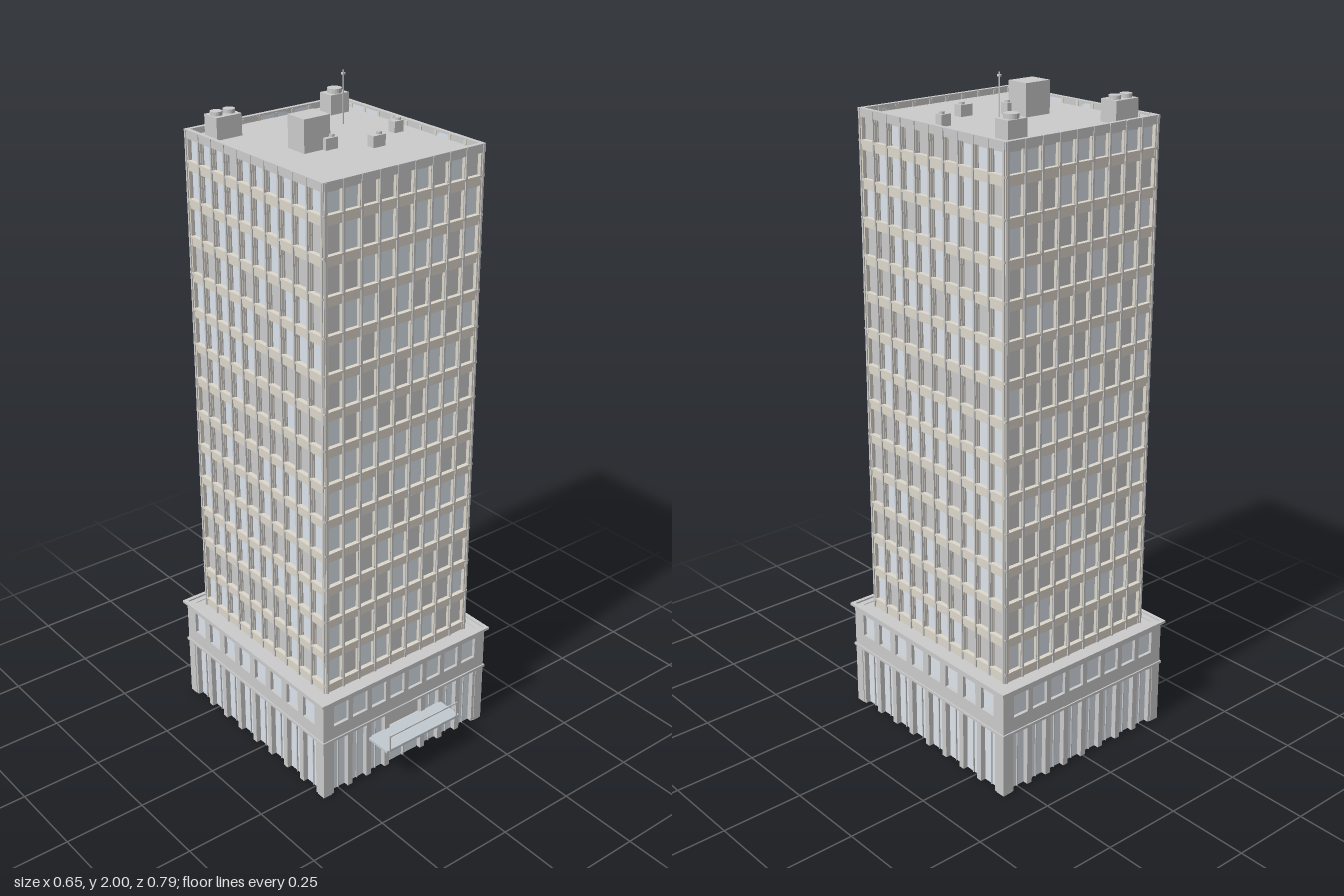
import * as THREE from 'three';
import { mergeGeometries } from 'three/addons/utils/BufferGeometryUtils.js';

const mat = (color) => new THREE.MeshStandardMaterial({ color, side: THREE.DoubleSide, flatShading: true });
const grey = mat(0xcccccc), glass = mat(0xdde4ec), stone = mat(0xded8cc), canopyGlass = mat(0xc2cbd0);
const ZC = -0.0375; // centre of the tower and podium in z

const box = (w, h, d, x, y, z) => new THREE.BoxGeometry(w, h, d).translate(x, y, z);
const span = (x0, x1, y0, y1, z0, z1) =>
  box(x1 - x0, y1 - y0, z1 - z0, (x0 + x1) / 2, (y0 + y1) / 2, (z0 + z1) / 2);
const pane = (w, h, x, y, z) => new THREE.PlaneGeometry(w, h).translate(x, y, z);
const cyl = (r, h, x, y, z, n = 20) => new THREE.CylinderGeometry(r, r, h, n).translate(x, y, z);

function add(parent, name, geos, material = grey) {
  const mesh = new THREE.Mesh(geos.length > 1 ? mergeGeometries(geos) : geos[0], material);
  mesh.name = name;
  parent.add(mesh);
  return mesh;
}

// rectangular ring lying flat, extruded upwards
function ring(hx, hz, t, y0, y1) {
  const rect = (S, a, b) => new S([[-a, -b], [a, -b], [a, b], [-a, b]].map((p) => new THREE.Vector2(...p)));
  const s = rect(THREE.Shape, hx, hz);
  s.holes.push(rect(THREE.Path, hx - t, hz - t));
  return new THREE.ExtrudeGeometry(s, { depth: y1 - y0, bevelEnabled: false })
    .rotateX(-Math.PI / 2).translate(0, y0, ZC);
}

let seed = 7;
const rnd = () => (seed = (seed * 16807) % 2147483647) / 2147483647;

// calls build(side, halfWidth, index) for four groups whose z = 0 lies on each wall
function fourSides(parent, name, hx, hz, build) {
  for (let i = 0; i < 4; i++) {
    const side = new THREE.Group();
    side.name = name + ['Front', 'Left', 'Back', 'Right'][i];
    const a = i * Math.PI / 2, d = i % 2 ? hx : hz;
    side.rotation.y = a;
    side.position.set(Math.sin(a) * d, 0, ZC + Math.cos(a) * d);
    build(side, i % 2 ? hz : hx, i);
    parent.add(side);
  }
}

function buildTower(parent) {
  const rows = 14, pitch = 0.109, y0 = 0.363, h = 0.08;
  fourSides(parent, 'towerFacade', 0.273, 0.306, (side, hw, i) => {
    const n = i % 2 ? 10 : 9, step = (2 * hw - 0.012) / n;
    const clear = [], blind = [], bands = [], ledges = [], piers = [], ribs = [], frames = [];
    for (let c = 0; c <= n; c++) {
      const x = (c - n / 2) * step;
      const edge = c === 0 || c === n;
      if (!edge) piers.push(span(x - 0.005, x + 0.005, 0.33, 1.862, -0.014, -0.002));
      ribs.push(span(x - 0.003, x + 0.003, 0.33, 1.865, -0.004, 0.003));
    }
    for (let r = 0; r < rows; r++) {
      const y = y0 + r * pitch;
      const low = r ? y - pitch + h : 0.33;
      bands.push(span(-hw, hw, low, y, -0.014, -0.001));
      ledges.push(span(-hw, hw, y - 0.006, y, -0.002, 0.002));
      for (let c = 0; c < n; c++) {
        const x = (c - (n - 1) / 2) * step;
        (rnd() < 0.58 ? clear : blind).push(pane(step - 0.01, h, x, y + h / 2, -0.012));
        frames.push(span(x - 0.024, x - 0.022, y, y + h, -0.012, -0.008));
      }
    }
    add(side, 'clearWindows', clear, glass);
    add(side, 'shadedWindows', blind);
    add(side, 'spandrels', bands, stone);
    add(side, 'sills', ledges, stone);
    add(side, 'piers', piers, stone);
    add(side, 'ribs', ribs);
    add(side, 'windowFrames', frames);
  });
  // solid corner posts
  const corners = [];
  for (const sx of [-1, 1]) for (const sz of [-1, 1])
    corners.push(box(0.014, 1.53, 0.014, sx * 0.266, 1.097, ZC + sz * 0.299));
  add(parent, 'towerCorners', corners, stone);
  add(parent, 'parapet', [ring(0.274, 0.307, 0.013, 1.842, 1.866)]);
  add(parent, 'roofDeck', [span(-0.262, 0.262, 1.835, 1.848, ZC - 0.295, ZC + 0.295)]);
}

function buildPodium(parent) {
  fourSides(parent, 'podiumWall', 0.315, 0.348, (side, hw, i) => {
    const n = 8, step = (2 * hw - 0.06) / n;
    // upper storey wall with window openings
    const wall = new THREE.Shape();
    wall.moveTo(-hw, 0.195).lineTo(hw, 0.195).lineTo(hw, 0.335).lineTo(-hw, 0.335);
    const panes = [], shop = [], columns = [], mullions = [];
    for (let c = 0; c < n; c++) {
      const x = (c - (n - 1) / 2) * step, w = 0.027;
      const hole = new THREE.Path();
      hole.moveTo(x - w, 0.245).lineTo(x - w, 0.315).lineTo(x + w, 0.315).lineTo(x + w, 0.245);
      wall.holes.push(hole);
      panes.push(pane(2 * w, 0.07, x, 0.28, -0.01));
      // ground floor glazing, leaving the entrance to its own part
      if (i === 0 && (c === 3 || c === 4)) continue;
      shop.push(pane(step, 0.195, x, 0.0975, -0.018));
      mullions.push(span(x - 0.0015, x + 0.0015, 0, 0.195, -0.02, -0.014));
    }
    for (let c = 0; c <= n; c++) {
      if (i === 0 && c === 4) continue;
      const x = (c - n / 2) * step;
      columns.push(span(x - 0.009, x + 0.009, 0, 0.195, -0.022, -0.002));
    }
    for (const s of [-1, 1]) columns.push(box(0.03, 0.195, 0.022, s * (hw - 0.015), 0.0975, -0.011));
    add(side, 'upperWall', [new THREE.ExtrudeGeometry(wall, { depth: 0.02, bevelEnabled: false }).translate(0, 0, -0.02)]);
    add(side, 'upperWindows', panes, glass);
    add(side, 'groundGlazing', shop, glass);
    add(side, 'glazingBars', mullions);
    add(side, 'columns', columns);
  });
  add(parent, 'stringCourse', [ring(0.319, 0.352, 0.022, 0.194, 0.202)]);
  add(parent, 'cornice', [ring(0.325, 0.3575, 0.012, 0.332, 0.34)]);
  add(parent, 'podiumRoof', [span(-0.314, 0.314, 0.322, 0.333, ZC - 0.347, ZC + 0.347)]);
}

function buildEntrance(parent) {
  const z = ZC + 0.348, g = new THREE.Group();
  g.name = 'entrance';
  parent.add(g);
  add(g, 'entranceGlazing', [pane(0.13, 0.195, 0, 0.0975, z - 0.018)]);
  const frame = [span(-0.07, 0.07, 0.125, 0.132, z - 0.02, z - 0.006)];
  for (const x of [-0.064, 0, 0.064]) frame.push(box(0.004, 0.128, 0.01, x, 0.064, z - 0.013));
  add(g, 'doorFrame', frame);
  add(g, 'doors', [-0.031, 0.031].map((x) => pane(0.054, 0.08, x, 0.04, z - 0.015)), glass);
  // canopy plate with its front rail
  add(g, 'canopy', [span(-0.143, 0.143, 0.13, 0.138, z - 0.005, 0.392)], canopyGlass);
  const rail = [span(-0.133, 0.133, 0.184, 0.188, 0.389, 0.393)];
  for (const x of [-0.131, 0.131]) rail.push(span(x - 0.002, x + 0.002, 0.13, 0.188, 0.389, 0.393));
  add(g, 'canopyRail', rail);
}

function buildRoofEquipment(parent) {
  const y = 1.846, g = new THREE.Group();
  g.name = 'roofEquipment';
  parent.add(g);
  add(g, 'twinFanUnit', [span(-0.235, -0.152, y, 1.91, -0.3, -0.242)]);
  add(g, 'twinFans', [-0.215, -0.173].map((x) => cyl(0.017, 0.012, x, 1.915, -0.272)));
  add(g, 'singleFanUnit', [span(0.16, 0.225, y, 1.905, -0.297, -0.247)]);
  add(g, 'singleFan', [cyl(0.021, 0.014, 0.193, 1.911, -0.272)]);
  add(g, 'stairHouse', [span(-0.125, -0.038, y, 1.94, -0.071, 0)]);
  // small vents with a round outlet
  for (const [x, z, w, dx] of [[-0.043, 0.001, 0.04, 0.009], [0.201, -0.011, 0.032, 0.006], [0.071, 0.061, 0.042, 0.008]]) {
    add(g, 'vent', [box(w, 0.034, 0.026, x, y + 0.017, z)]);
    add(g, 'ventOutlet', [cyl(0.008, 0.008, x + dx, y + 0.037, z, 14)]);
  }
  add(g, 'antenna', [cyl(0.002, 0.154, 0.133, 1.923, -0.158, 8),
    box(0.008, 0.006, 0.008, 0.133, 1.99, -0.158)]);
}

export function createModel() {
  const model = new THREE.Group();
  model.name = 'officeTower';
  buildPodium(model);
  buildTower(model);
  buildEntrance(model);
  buildRoofEquipment(model);
  return model;
}
